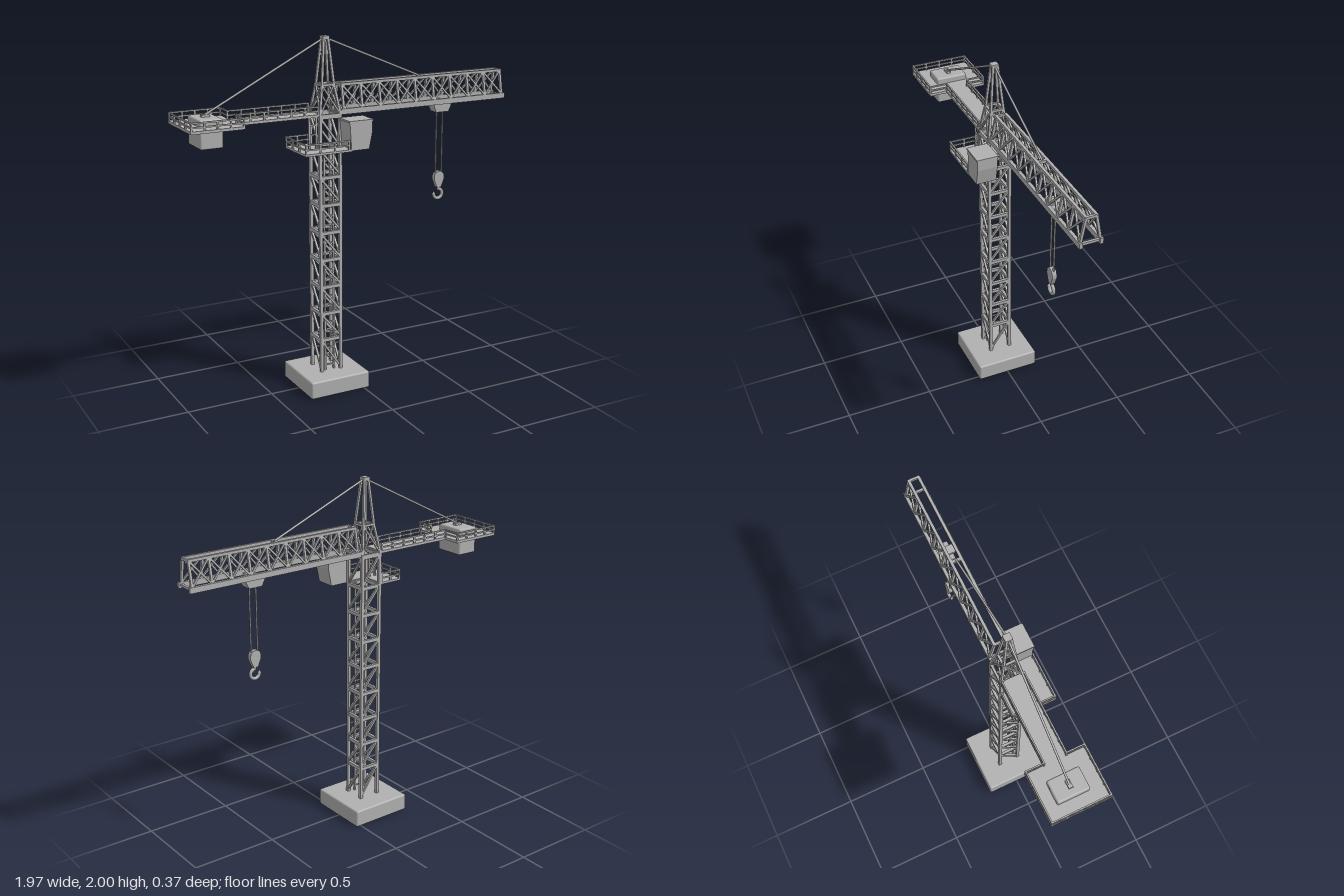
import * as THREE from 'three';
import { RoundedBoxGeometry } from 'three/addons/geometries/RoundedBoxGeometry.js';

const UP = new THREE.Vector3(0, 1, 0);

export function createModel() {
  const steel = new THREE.MeshStandardMaterial({ color: 0xb0b0b0 });
  steel.name = 'greySteel';
  const crane = new THREE.Group();
  crane.name = 'towerCrane';

  const section = (name) => {
    const g = new THREE.Group();
    g.name = name;
    crane.add(g);
    return g;
  };
  const add = (parent, name, geometry, x = 0, y = 0, z = 0) => {
    const m = new THREE.Mesh(geometry, steel);
    m.name = name;
    m.position.set(x, y, z);
    parent.add(m);
    return m;
  };
  // Box from its minimum and maximum corners
  const block = (parent, name, a, b) => add(parent, name,
    new THREE.BoxGeometry(b[0] - a[0], b[1] - a[1], b[2] - a[2]),
    (a[0] + b[0]) / 2, (a[1] + b[1]) / 2, (a[2] + b[2]) / 2);
  // Straight bar between two points; round bars use a cylinder
  const bar = (parent, name, a, b, w = 0.012, d = w, round = false) => {
    const p = new THREE.Vector3(...a), q = new THREE.Vector3(...b);
    const len = p.distanceTo(q);
    const geo = round ? new THREE.CylinderGeometry(w / 2, w / 2, len, 10) : new THREE.BoxGeometry(w, len, d);
    const m = add(parent, name, geo);
    m.position.copy(p).add(q).multiplyScalar(0.5);
    m.quaternion.setFromUnitVectors(UP, q.sub(p).normalize());
    return m;
  };
  // Posts with a top rail and a middle rail along a path of [x, z] points
  const railing = (parent, path, y, h) => {
    for (let i = 0; i + 1 < path.length; i++) {
      const [x0, z0] = path[i], [x1, z1] = path[i + 1];
      for (const k of [0.5, 1]) bar(parent, 'rail', [x0, y + h * k, z0], [x1, y + h * k, z1], 0.008);
      const n = Math.max(1, Math.round(Math.hypot(x1 - x0, z1 - z0) / 0.078));
      for (let j = 0; j <= n; j++) {
        const x = x0 + (x1 - x0) * j / n, z = z0 + (z1 - z0) * j / n;
        bar(parent, 'railPost', [x, y, z], [x, y + h + 0.004, z], 0.009);
      }
    }
  };
  const ladder = (parent, x0, x1, z, y0, y1) => {
    for (const x of [x0, x1]) bar(parent, 'ladderRail', [x, y0, z], [x, y1, z], 0.01);
    for (let y = y0 + 0.03; y < y1; y += 0.052) bar(parent, 'rung', [x0, y, z], [x1, y, z], 0.008);
  };

  // Foundation block
  const cx = -0.152;
  add(crane, 'base', new RoundedBoxGeometry(0.367, 0.1, 0.367, 3, 0.01), cx, 0.05, 0);

  // Lattice mast
  const mast = section('mast');
  const r = 0.06;
  const corners = [[-r, r], [r, r], [r, -r], [-r, -r]];
  for (const [x, z] of corners) bar(mast, 'mastLeg', [cx + x, 0.09, z], [cx + x, 1.585, z], 0.018);
  const levels = [0.1];
  for (let i = 0; i < 8; i++) levels.push(0.29 + i * 0.1575);
  levels.push(1.57);
  for (let i = 1; i < levels.length; i++) {
    const y0 = levels[i - 1] + 0.01, y1 = levels[i];
    for (const s of [-r, r]) {
      bar(mast, 'crossbar', [cx - r, y1, s], [cx + r, y1, s], 0.02, 0.016);
      bar(mast, 'crossbar', [cx + s, y1, -r], [cx + s, y1, r], 0.016, 0.02);
      bar(mast, 'brace', [cx - r, y1, s], [cx + r, y0, s], 0.012);
      bar(mast, 'brace', [cx + s, y0, r], [cx + s, y1, -r], 0.012);
    }
  }
  ladder(mast, -0.182, -0.127, 0.045, 0.1, 1.4);

  // Tapered peak above the mast
  const peak = section('peak');
  const rings = [[1.58, 0.062], [1.74, 0.036], [1.99, 0.013]];
  for (let i = 0; i < 4; i++) {
    const at = (k, c) => [cx + Math.sign(corners[c % 4][0]) * rings[k][1], rings[k][0], Math.sign(corners[c % 4][1]) * rings[k][1]];
    for (let k = 0; k < 2; k++) {
      bar(peak, 'peakLeg', at(k, i), at(k + 1, i), 0.013);
      bar(peak, 'peakCrossbar', at(k, i), at(k, i + 1), 0.013);
    }
    bar(peak, 'peakBrace', at(0, i), at(1, i + 1), 0.009);
    bar(peak, 'peakBrace', at(0, i + 1), at(1, i), 0.009);
  }
  block(peak, 'peakCap', [cx - 0.02, 1.98, -0.02], [cx + 0.02, 2, 0.02]);

  // Jib: two wide bottom chords, two closer top chords, X bracing between
  const jib = section('jib');
  const bays = 9, jx0 = -0.065, jx1 = 0.968, yb = 1.592, yt = 1.735;
  const zb = 0.055, zt = 0.028;
  for (const s of [-1, 1]) {
    block(jib, 'bottomChord', [-0.085, 1.576, s * zb - 0.009], [0.985, 1.607, s * zb + 0.009]);
    bar(jib, 'topChord', [jx0 - 0.006, yt, s * zt], [jx1 + 0.006, yt, s * zt], 0.016);
    for (let i = 0; i <= bays; i++) {
      const x = jx0 + (jx1 - jx0) * i / bays, xn = x + (jx1 - jx0) / bays;
      bar(jib, 'jibUpright', [x, yb, s * zb], [x, yt, s * zt], 0.014);
      if (i === bays) continue;
      bar(jib, 'jibBrace', [x, yb + 0.01, s * zb], [xn, yt, s * zt], 0.01);
      bar(jib, 'jibBrace', [xn, yb + 0.01, s * zb], [x, yt, s * zt], 0.01);
    }
  }
  for (const x of [jx0, jx1]) {
    bar(jib, 'endTie', [x, yb, -zb], [x, yb, zb], 0.014);
    bar(jib, 'endTie', [x, yt, -zt], [x, yt, zt], 0.014);
  }
  bar(jib, 'stayAnchor', [0.44, yt, -zt], [0.44, yt, zt], 0.016);

  // Rear walkway, counterweight deck and railings
  const rear = section('counterJib');
  block(rear, 'walkway', [-0.7, 1.575, -0.066], [-0.215, 1.59, 0.066]);
  block(rear, 'counterDeck', [-0.985, 1.575, -0.167], [-0.69, 1.59, 0.167]);
  for (const s of [-1, 1]) {
    railing(rear, [[-0.98, 0], [-0.98, s * 0.162], [-0.695, s * 0.162], [-0.695, s * 0.062], [-0.225, s * 0.062]], 1.585, 0.046);
  }
  add(rear, 'counterweight', new RoundedBoxGeometry(0.127, 0.155, 0.18, 3, 0.01), -0.842, 1.548, -0.003);
  block(rear, 'stayLug', [-0.865, 1.62, -0.012], [-0.82, 1.638, 0.012]);

  // Stay cables
  bar(crane, 'rearStay', [cx, 1.99, 0], [-0.845, 1.635, 0], 0.012, 0.012, true);
  bar(crane, 'frontStay', [cx, 1.99, 0], [0.44, 1.742, 0], 0.012, 0.012, true);

  // Access platform with its ladder
  const platform = section('accessPlatform');
  block(platform, 'platformFloor', [-0.36, 1.396, 0.066], [-0.085, 1.408, 0.185]);
  block(platform, 'platformFloor', [-0.36, 1.396, -0.066], [-0.215, 1.408, 0.066]);
  railing(platform, [[-0.225, -0.062], [-0.356, -0.062], [-0.356, 0.181], [-0.1, 0.181]], 1.405, 0.052);
  ladder(platform, -0.278, -0.236, 0.06, 1.4, 1.59);

  // Operator cab with sloping front
  const cab = section('cab');
  const side = new THREE.Shape([[-0.096, 1.555], [-0.085, 1.4], [0.022, 1.4], [0.042, 1.495], [0.042, 1.555]]
    .map(([x, y]) => new THREE.Vector2(x, y)));
  add(cab, 'cabBody', new THREE.ExtrudeGeometry(side, { depth: 0.115, bevelEnabled: false }), 0, 0, 0.068);
  block(cab, 'cabRoof', [-0.1, 1.552, 0.064], [0.046, 1.562, 0.187]);

  // Trolley, hoist ropes and hook
  const hoist = section('hoist');
  const hx = 0.582;
  const trolley = new THREE.Shape([[-0.056, 1.58], [-0.056, 1.558], [-0.04, 1.525], [0.04, 1.525], [0.056, 1.558], [0.056, 1.58]]
    .map(([x, y]) => new THREE.Vector2(x, y)));
  add(hoist, 'trolley', new THREE.ExtrudeGeometry(trolley, { depth: 0.064, bevelEnabled: false }), hx, 0, -0.032);
  bar(hoist, 'trolleyAxle', [hx, 1.583, -0.055], [hx, 1.583, 0.055], 0.05, 0.014);
  for (const s of [-1, 1]) bar(hoist, 'hoistRope', [hx + s * 0.02, 1.53, 0], [hx + s * 0.02, 1.15, 0], 0.01, 0.01, true);
  const plate = new THREE.Shape();
  plate.moveTo(-0.014, 1.078);
  plate.lineTo(-0.033, 1.125);
  plate.quadraticCurveTo(-0.036, 1.172, 0, 1.173);
  plate.quadraticCurveTo(0.036, 1.172, 0.033, 1.125);
  plate.lineTo(0.014, 1.078);
  add(hoist, 'hookBlock', new THREE.ExtrudeGeometry(plate, { depth: 0.026, bevelEnabled: false }), hx, 0, -0.013);
  bar(hoist, 'hookShank', [hx, 1.085, 0], [hx + 0.004, 1.06, 0], 0.02, 0.02, true);
  const hook = add(hoist, 'hook', new THREE.TorusGeometry(0.028, 0.01, 10, 28, Math.PI * 1.5), hx, 1.038, 0);
  hook.rotation.z = -Math.PI;
  add(hoist, 'hookTip', new THREE.ConeGeometry(0.01, 0.018, 10), hx - 0.028, 1.047, 0);

  return crane;
}
